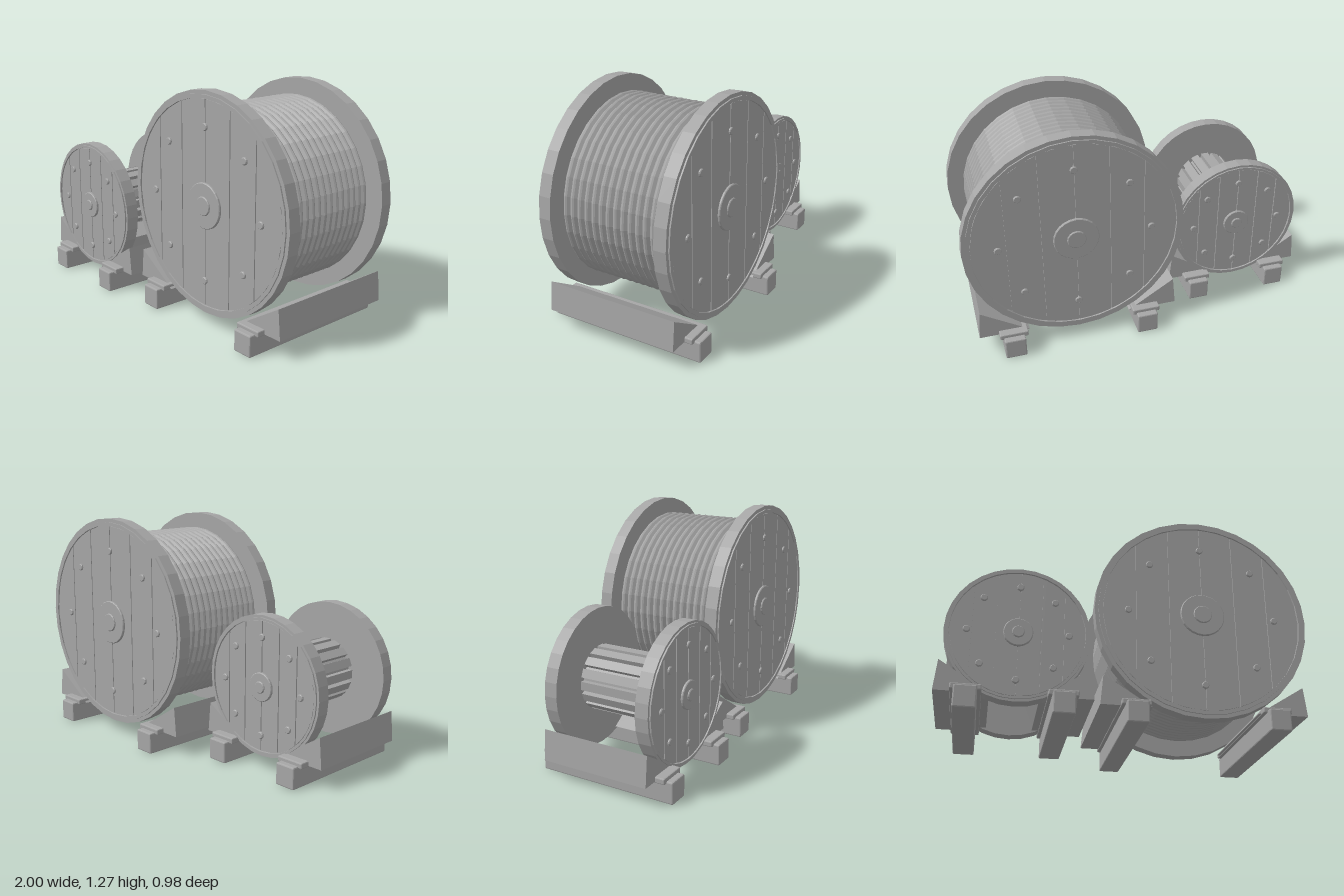
import * as THREE from 'three';
import { RoundedBoxGeometry } from 'three/addons/geometries/RoundedBoxGeometry.js';

const SIDES = 32;
const grey = new THREE.MeshStandardMaterial({ color: 0xa6a6a6, flatShading: true });
grey.name = 'plain grey';

function add(parent, name, geometry, x = 0, y = 0, z = 0) {
  const mesh = new THREE.Mesh(geometry, grey);
  mesh.name = name;
  mesh.position.set(x, y, z);
  parent.add(mesh);
  return mesh;
}

// Solid of revolution around z; points are [radius, z], from back to front
function turned(points, sides = SIDES) {
  return new THREE.LatheGeometry(points.map(([r, z]) => new THREE.Vector2(r, z)), sides).rotateX(Math.PI / 2);
}

// Solid disc with a slightly chamfered front edge
function disc(r, z0, z1, sides) {
  const c = Math.min(0.004, (z1 - z0) / 2);
  return turned([[0, z0], [r, z0], [r, z1 - c], [r - c, z1], [0, z1]], sides);
}

// Vertical board cut from a round panel, between x0 and x1
function boardGeometry(radius, x0, x1, depth) {
  const points = [];
  const steps = 8;
  for (let i = 0; i <= steps; i++) {
    const x = x0 + (x1 - x0) * i / steps;
    points.push(new THREE.Vector2(x, -Math.sqrt(Math.max(0, radius * radius - x * x))));
  }
  for (let i = steps; i >= 0; i--) {
    const x = x0 + (x1 - x0) * i / steps;
    const y = Math.sqrt(Math.max(0, radius * radius - x * x));
    if (y > 1e-4) points.push(new THREE.Vector2(x, y));
  }
  return new THREE.ExtrudeGeometry(new THREE.Shape(points), { depth, bevelEnabled: false });
}

// Round end of a drum facing +z, with boards, bolts and hub
function makeFlange({ radius, inner, outer, boltRing, boltRadius, hubRadius }) {
  const flange = new THREE.Group();
  flange.name = 'flange';
  const step = radius * 0.034;
  const panelRadius = radius - 2 * step;
  const lip = outer + 0.008;
  const floor = outer - 0.005;
  add(flange, 'flangeRim', turned([
    [0, inner], [radius, inner], [radius, outer], [radius - step, outer],
    [radius - step, lip], [panelRadius, lip], [panelRadius, floor], [0, floor],
  ]));
  const width = panelRadius / 3;
  for (let i = -3; i < 3; i++) {
    add(flange, 'board', boardGeometry(panelRadius - 0.005, Math.max(i * width + 0.003, -panelRadius + 0.006),
      Math.min((i + 1) * width - 0.003, panelRadius - 0.006), 0.008), 0, 0, floor);
  }
  for (let i = 0; i < 8; i++) {
    const a = i * Math.PI / 4;
    add(flange, 'bolt', disc(boltRadius, floor, outer + 0.013, 12), boltRing * Math.cos(a), boltRing * Math.sin(a));
  }
  add(flange, 'hub', disc(hubRadius, floor, outer + 0.016, 24));
  add(flange, 'axleCap', disc(hubRadius * 0.42, floor, outer + 0.024, 16));
  return flange;
}

function makeDrum(name, spec) {
  const drum = new THREE.Group();
  drum.name = name;
  const front = makeFlange(spec);
  const back = makeFlange(spec);
  back.rotation.y = Math.PI;
  drum.add(front, back);
  return drum;
}

// Two beams with top plates and wedges, mirrored about the drum's centre
function makeCradle({ beamX, beamHalf, plateHalf, wedgeHalf, wedgeX }) {
  const cradle = new THREE.Group();
  cradle.name = 'cradle';
  for (const side of [-1, 1]) {
    add(cradle, 'beam', new RoundedBoxGeometry(0.116, 0.118, beamHalf * 2, 1, 0.007), side * beamX, 0.059, 0);
    add(cradle, 'beamPlate', new RoundedBoxGeometry(0.156, 0.032, plateHalf * 2, 1, 0.006), side * beamX, 0.122, 0);
    const profile = [[wedgeX, 0.113], [wedgeX - 0.015, 0.277], [wedgeX - 0.275, 0.113]]
      .map(([x, y]) => new THREE.Vector2(side * x, y));
    add(cradle, 'wedge', new THREE.ExtrudeGeometry(new THREE.Shape(profile),
      { depth: wedgeHalf * 2, bevelEnabled: false }), 0, 0, -wedgeHalf);
  }
  return cradle;
}

export function createModel() {
  const model = new THREE.Group();
  model.name = 'cableDrums';

  // Large drum wound with cable
  const large = makeDrum('largeDrum', {
    radius: 0.598, inner: 0.305, outer: 0.375, boltRing: 0.413, boltRadius: 0.02, hubRadius: 0.124,
  });
  large.position.set(0.401, 0.668, -0.03);
  const turns = 14;
  const pitch = 0.61 / turns;
  const winding = [[0.493, -0.305]];
  for (let i = 0; i < turns; i++) {
    const z = -0.305 + i * pitch;
    winding.push([0.506, z + pitch * 0.3], [0.51, z + pitch * 0.5], [0.506, z + pitch * 0.7], [0.493, z + pitch]);
  }
  add(large, 'cableWinding', turned(winding));
  const largeCradle = makeCradle({ beamX: 0.376, beamHalf: 0.46, plateHalf: 0.425, wedgeHalf: 0.38, wedgeX: 0.56 });
  largeCradle.position.set(0.399, 0, -0.03);

  // Small empty drum with a slatted core
  const small = makeDrum('smallDrum', {
    radius: 0.376, inner: 0.23, outer: 0.302, boltRing: 0.262, boltRadius: 0.019, hubRadius: 0.077,
  });
  small.position.set(-0.599, 0.452, 0.1);
  add(small, 'core', turned([[0.15, -0.23], [0.15, 0.23]], 24));
  const slats = 16;
  for (let i = 0; i < slats; i++) {
    const a = i * Math.PI * 2 / slats;
    const slat = add(small, 'coreSlat', new THREE.BoxGeometry(0.04, 0.046, 0.46), 0.153 * Math.cos(a), 0.153 * Math.sin(a));
    slat.rotation.z = a;
  }
  const smallCradle = makeCradle({ beamX: 0.241, beamHalf: 0.39, plateHalf: 0.355, wedgeHalf: 0.302, wedgeX: 0.401 });
  smallCradle.position.set(-0.599, 0, 0.1);

  model.add(large, largeCradle, small, smallCradle);
  return model;
}
